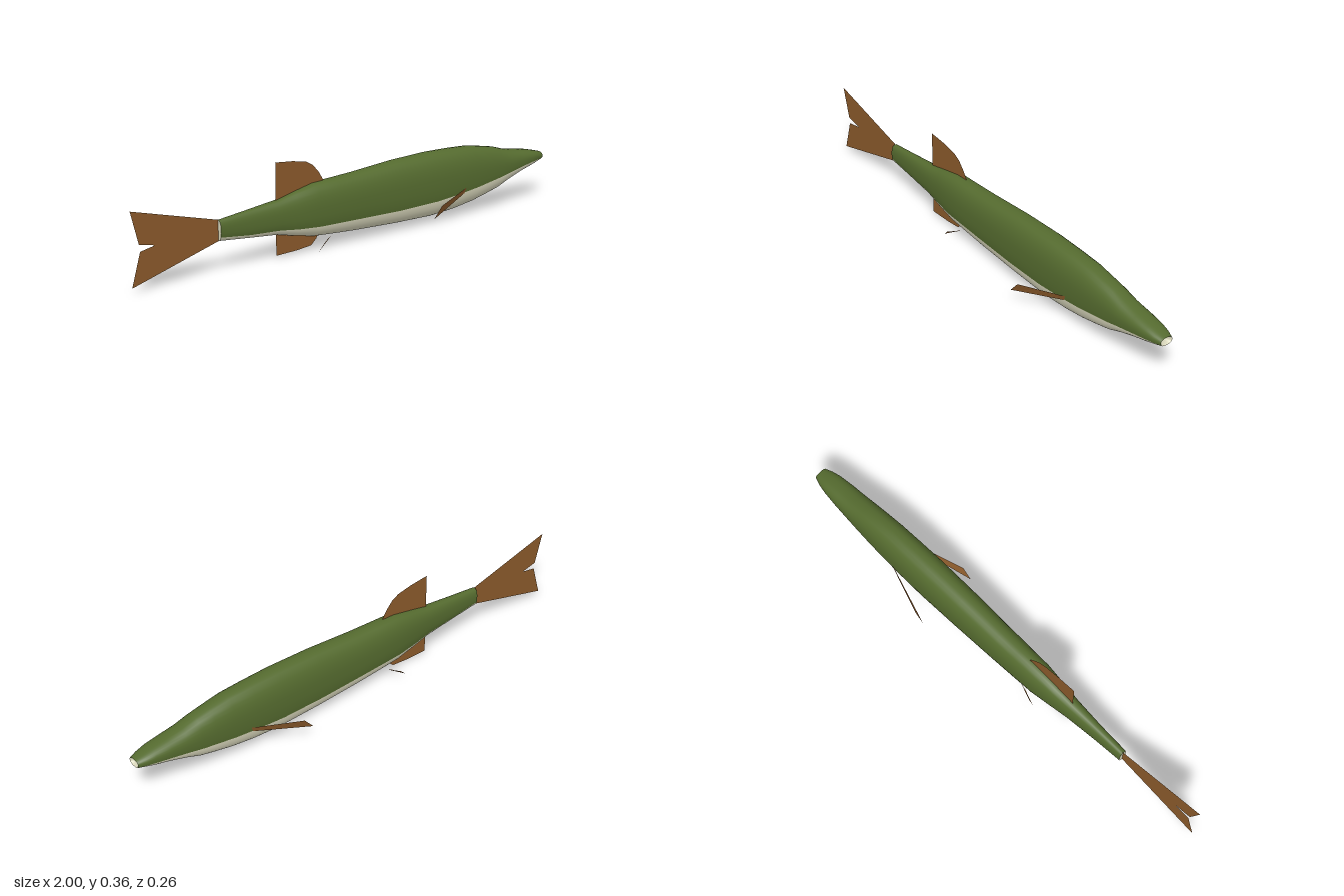
import * as THREE from 'three';

const material = (name, color, side = THREE.FrontSide) => {
  const m = new THREE.MeshStandardMaterial({ color, side });
  m.name = name;
  return m;
};

// Body stations: x, back height, belly height, half width, height of the colour line
const STATIONS = [
  [-0.63, 0.195, 0.118, 0.018, 0.133],
  [-0.5, 0.208, 0.104, 0.024, 0.118],
  [-0.37, 0.221, 0.091, 0.034, 0.112],
  [-0.29, 0.239, 0.072, 0.043, 0.103],
  [-0.2, 0.257, 0.054, 0.053, 0.098],
  [-0.1, 0.26, 0.046, 0.056, 0.096],
  [0, 0.264, 0.039, 0.059, 0.094],
  [0.2, 0.277, 0.029, 0.064, 0.09],
  [0.38, 0.281, 0.024, 0.067, 0.093],
  [0.5, 0.277, 0.031, 0.066, 0.102],
  [0.6, 0.271, 0.044, 0.064, 0.112],
  [0.68, 0.256, 0.061, 0.061, 0.123],
  [0.74, 0.244, 0.075, 0.058, 0.131],
  [0.8, 0.225, 0.099, 0.055, 0.142],
  [0.87, 0.213, 0.122, 0.051, 0.153],
  [0.93, 0.203, 0.137, 0.045, 0.16],
  [0.97, 0.193, 0.147, 0.037, 0.162],
  [1, 0.185, 0.153, 0.026, 0.16],
];
const HALF = 20;
const RING = HALF * 2;
const ROUND = 2 / 2.4;

const soften = (v) => Math.sign(v) * Math.abs(v) ** ROUND;

// One squarish oval section; its first half lies above the colour line
function section([x, top, bottom, width, split]) {
  const mid = (top + bottom) / 2, h = (top - bottom) / 2;
  const s = (split - mid) / h;
  const start = Math.asin(Math.sign(s) * Math.abs(s) ** (1 / ROUND));
  const points = [];
  for (let j = 0; j < RING; j++) {
    const a = j < HALF
      ? start + (Math.PI - 2 * start) * (j / HALF)
      : Math.PI - start + (Math.PI + 2 * start) * ((j - HALF) / HALF);
    points.push(new THREE.Vector3(x, mid + h * soften(Math.sin(a)), width * soften(Math.cos(a))));
  }
  return points;
}

function bodyGeometry() {
  const g = new THREE.BufferGeometry().setFromPoints(STATIONS.flatMap(section));
  const index = [];
  for (const from of [0, HALF]) {
    const begin = index.length;
    for (let i = 0; i < STATIONS.length - 1; i++) {
      for (let j = from; j < from + HALF; j++) {
        const a = i * RING + j, b = i * RING + ((j + 1) % RING);
        index.push(a, a + RING, b, b, a + RING, b + RING);
      }
    }
    g.addGroup(begin, index.length - begin, from ? 1 : 0);
  }
  g.setIndex(index);
  g.computeVertexNormals();
  return g;
}

// Fan closing an end section, optionally hollowed to a point at x
function capGeometry(station, x) {
  const ring = section(station);
  const centre = new THREE.Vector3(x, (station[1] + station[2]) / 2, 0);
  const g = new THREE.BufferGeometry().setFromPoints([centre, ...ring]);
  const index = [];
  for (let j = 0; j < RING; j++) {
    const a = 1 + j, b = 1 + ((j + 1) % RING);
    if (station[0] > 0) index.push(0, b, a);
    else index.push(0, a, b);
  }
  g.setIndex(index);
  g.computeVertexNormals();
  return g;
}

const flatFin = (points) =>
  new THREE.ShapeGeometry(new THREE.Shape(points.map(([x, y]) => new THREE.Vector2(x, y))));

// Four-cornered side fin, mirrored across the body by the sign of side
function sideFin(corners, side) {
  const g = new THREE.BufferGeometry().setFromPoints(
    corners.map(([x, y, z]) => new THREE.Vector3(x, y, z * side)));
  g.setIndex(side > 0 ? [0, 1, 2, 0, 2, 3] : [0, 2, 1, 0, 3, 2]);
  g.computeVertexNormals();
  return g;
}

export function createModel() {
  const green = material('olive green back', 0x556b2f);
  const cream = material('cream belly', 0xdedcc0);
  const brown = material('brown fin', 0x8b5a2b, THREE.DoubleSide);

  const fish = new THREE.Group();
  fish.name = 'fish';
  const add = (name, geometry, mat) => {
    const mesh = new THREE.Mesh(geometry, mat);
    mesh.name = name;
    fish.add(mesh);
  };

  // Body, open mouth and tail stump
  add('body', bodyGeometry(), [green, cream]);
  add('mouth', capGeometry(STATIONS[STATIONS.length - 1], 0.96), cream);
  add('tailStump', capGeometry(STATIONS[0], -0.63), cream);

  // Fins on the centre line
  add('tailFin', flatFin([
    [-0.625, 0.118], [-0.625, 0.195], [-1, 0.295], [-0.967, 0.17],
    [-0.9, 0.155], [-0.963, 0.144], [-1, 0.018],
  ]), brown);
  add('dorsalFin', flatFin([
    [-0.37, 0.2], [-0.14, 0.24], [-0.147, 0.262], [-0.168, 0.295],
    [-0.195, 0.325], [-0.225, 0.342], [-0.29, 0.355], [-0.37, 0.363],
  ]), brown);
  add('analFin', flatFin([
    [-0.37, 0.11], [-0.37, 0.009], [-0.27, 0.011], [-0.205, 0.017], [-0.18, 0.04], [-0.165, 0.07],
  ]), brown);

  // Paired fins swept back from the flanks
  const pectoral = [[0.545, 0.125, 0.06], [0.34, 0.098, 0.13], [0.3, 0.052, 0.13], [0.53, 0.103, 0.06]];
  const pelvic = [[-0.14, 0.048, 0.036], [-0.2, 0.02, 0.055], [-0.22, 0, 0.055], [-0.165, 0.036, 0.04]];
  for (const [label, side] of [['left', -1], ['right', 1]]) {
    add(`${label}PectoralFin`, sideFin(pectoral, side), brown);
    add(`${label}PelvicFin`, sideFin(pelvic, side), brown);
  }
  return fish;
}
